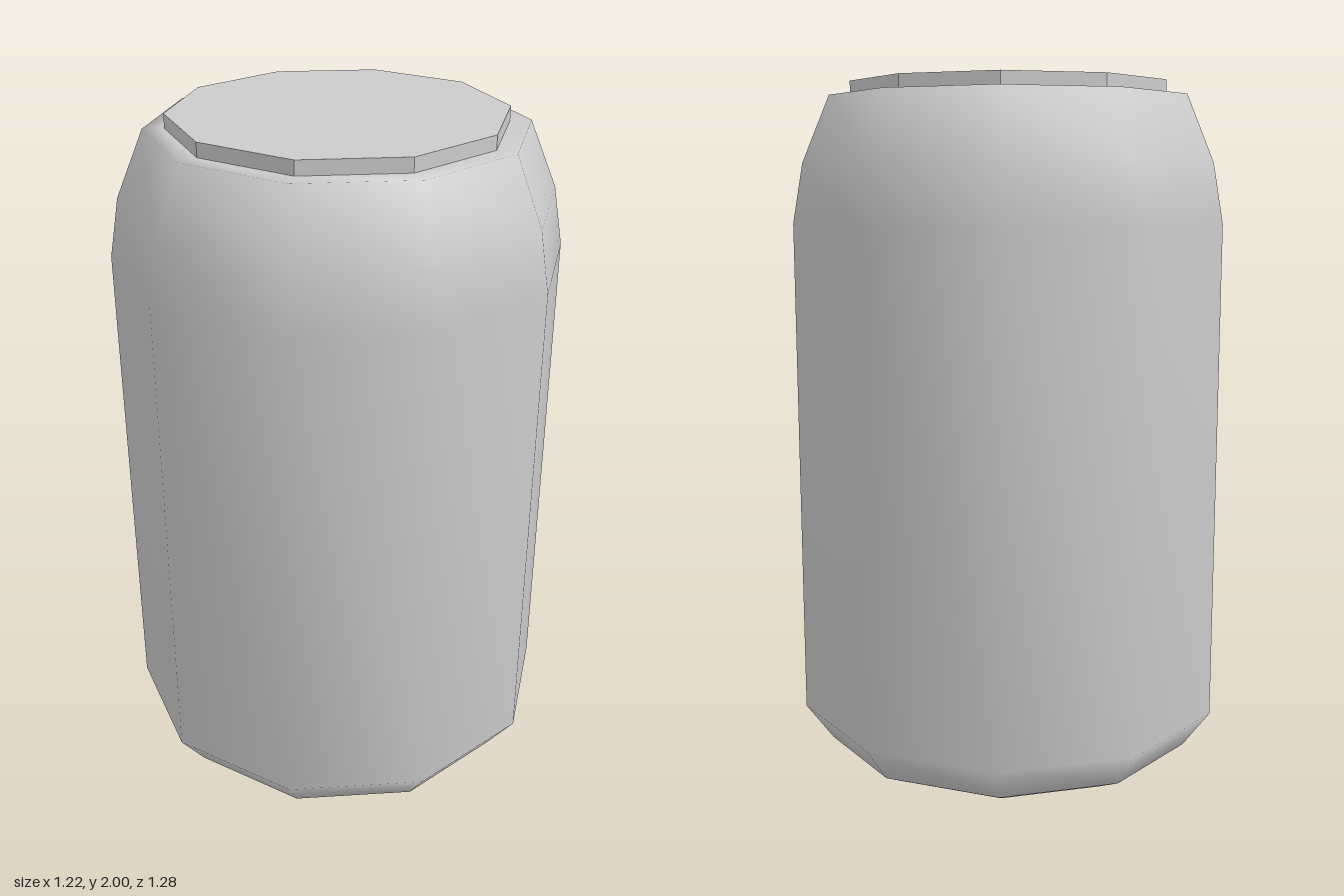
import * as THREE from 'three';
import { mergeVertices } from 'three/addons/utils/BufferGeometryUtils.js';

const SIDES = 10;

export function createModel() {
  const model = new THREE.Group();
  model.name = 'can';

  // Body: ten-sided turned shell, with a corner of the decagon on +z
  const profile = [
    [0, 0], [0.48, 0], [0.56, 0.04], [0.64, 0.15],
    [0.64, 1.6], [0.61, 1.77], [0.53, 1.96], [0.47, 1.96],
  ].map(([r, y]) => new THREE.Vector2(r, y));
  let shell = new THREE.LatheGeometry(profile, SIDES);
  // Weld the seam and use area-weighted smooth normals
  shell.deleteAttribute('uv');
  shell.deleteAttribute('normal');
  shell = mergeVertices(shell, 1e-4);
  shell.computeVertexNormals();
  const body = new THREE.Mesh(
    shell,
    new THREE.MeshStandardMaterial({ color: 0xcccccc, side: THREE.DoubleSide })
  );
  body.name = 'body';
  model.add(body);

  // Lid: thin flat-shaded disc set into the shoulder
  const lid = new THREE.Mesh(
    new THREE.CylinderGeometry(0.47, 0.47, 0.04, SIDES),
    new THREE.MeshStandardMaterial({ color: 0xcccccc, flatShading: true })
  );
  lid.name = 'lid';
  lid.position.y = 1.98;
  model.add(lid);

  return model;
}
